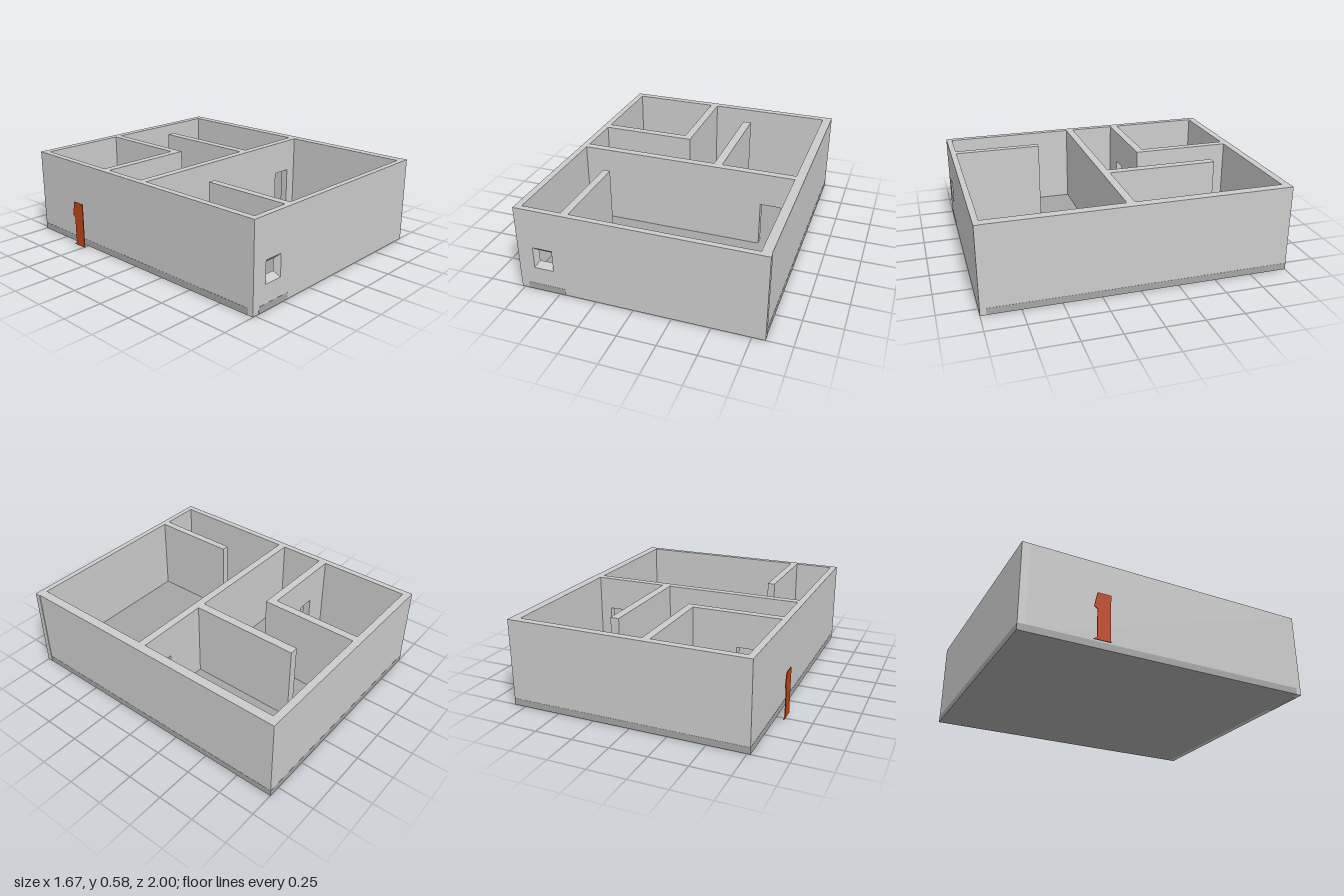
import * as THREE from 'three';

const H = 0.583; // wall height

export function createModel() {
  const house = new THREE.Group();
  house.name = 'house';
  const wallMat = new THREE.MeshStandardMaterial({ color: 0xcccccc, flatShading: true });
  const floorMat = new THREE.MeshStandardMaterial({ color: 0xa5a5a5, flatShading: true });
  const doorMat = new THREE.MeshStandardMaterial({ color: 0xc04316, flatShading: true });

  const add = (name, geometry, material) => {
    const mesh = new THREE.Mesh(geometry, material);
    mesh.name = name;
    house.add(mesh);
    return mesh;
  };

  // Box given by its limits
  const block = (name, x0, x1, y0, y1, z0, z1, material = wallMat) =>
    add(name, new THREE.BoxGeometry(x1 - x0, y1 - y0, z1 - z0)
      .translate((x0 + x1) / 2, (y0 + y1) / 2, (z0 + z1) / 2), material);

  // Closed path through a few points
  const trace = (path, points) => {
    path.setFromPoints(points.map(([x, y]) => new THREE.Vector2(x, y)));
    path.closePath();
    return path;
  };
  const rect = (x0, x1, y0, y1) => [[x0, y0], [x1, y0], [x1, y1], [x0, y1]];

  // Wall along x with a rectangular opening
  const piercedWall = (x0, x1, z0, z1, opening) => {
    const shape = trace(new THREE.Shape(), rect(x0, x1, 0.0005, H));
    shape.holes.push(trace(new THREE.Path(), rect(...opening)));
    return new THREE.ExtrudeGeometry(shape, { depth: z1 - z0, bevelEnabled: false })
      .translate(0, 0, z0);
  };

  // Outer walls
  block('backWall', -0.77, 0.83, 0.0005, H, -1, -0.95);
  block('rightWall', -0.77, -0.727, 0.0005, H, -0.95, 0.962);
  block('leftWall', 0.769, 0.83, 0.0005, H, -0.95, 0.962);

  // Front wall: the window narrows towards the inside
  const front = piercedWall(-0.77, 0.834, 0.962, 1, [-0.664, -0.532, 0.166, 0.314]);
  const p = front.attributes.position;
  for (let i = 0; i < p.count; i++) {
    const x = p.getX(i), y = p.getY(i);
    const inWindow = Math.abs(x + 0.598) < 0.1 && Math.abs(y - 0.24) < 0.1;
    if (inWindow && p.getZ(i) < 0.98) {
      p.setXY(i, -0.598 + (x + 0.598) * 0.67, 0.24 + (y - 0.24) * 0.52);
    }
  }
  front.computeVertexNormals();
  add('frontWall', front, wallMat);

  // Inner walls with doorways
  add('middleWall', piercedWall(-0.727, 0.769, 0.03, 0.082, [0.55, 0.69, 0.045, 0.355]), wallMat);
  add('bedroomFrontWall', piercedWall(-0.727, -0.077, -0.331, -0.277, [-0.555, -0.435, 0.045, 0.35]), wallMat);
  block('bedroomSideWall', -0.13, -0.077, 0.0005, H, -0.95, -0.331);

  // Free-standing partitions
  block('backPartition', 0.204, 0.262, 0.0005, H, -0.718, 0.03);
  block('frontPartition', -0.463, -0.414, 0.0005, H, 0.368, 0.962);

  // Floor slab and its piece under the windowed room
  block('floor', -0.771, 0.831, 0, 0.045, -1.001, 0.965, floorMat);
  block('floorEdge', -0.72, -0.46, 0, 0.045, 0.965, 1.001, floorMat);

  // Thin detached door panel beside the right wall
  const door = trace(new THREE.Shape(), [
    [-0.565, 0.02], [-0.45, 0.02], [-0.455, 0.04], [-0.452, 0.33],
    [-0.54, 0.33], [-0.562, 0.235], [-0.54, 0.22], [-0.54, 0.035],
  ].map(([z, y]) => [-z, y]));
  add('door', new THREE.ExtrudeGeometry(door, { depth: 0.006, bevelEnabled: false })
    .rotateY(Math.PI / 2).translate(-0.836, 0, 0), doorMat);

  return house;
}
